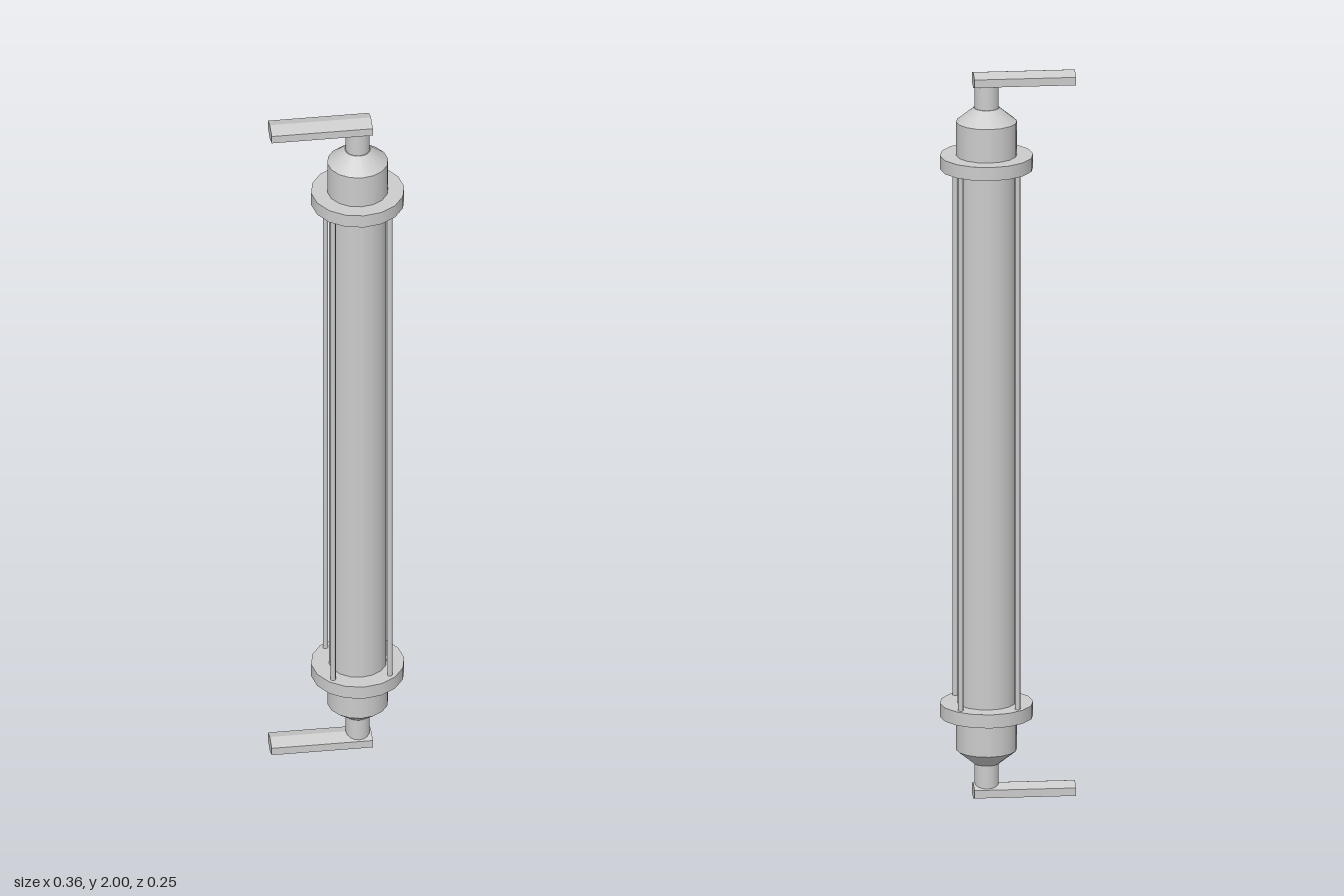
import * as THREE from 'three';

export function createModel() {
  const model = new THREE.Group();
  model.name = 'cylinderWithArms';
  const material = new THREE.MeshStandardMaterial({ color: 0xcccccc });
  const flatMaterial = new THREE.MeshStandardMaterial({ color: 0xcccccc, flatShading: true });

  const AXIS_X = 0.0545;
  const MID_Y = 1;

  // Upright cylinder between two heights, measured from the middle of the model
  function column(name, y0, y1, r0, r1, sides = 16, x = 0, z = 0) {
    const mesh = new THREE.Mesh(new THREE.CylinderGeometry(r1, r0, y1 - y0, sides), material);
    mesh.name = name;
    mesh.position.set(AXIS_X + x, MID_Y + (y0 + y1) / 2, z);
    model.add(mesh);
  }

  // Flattened hexagonal bar along x, ridge on top
  function arm(name, y) {
    const geometry = new THREE.CylinderGeometry(0.0435, 0.0435, 0.27, 6);
    geometry.rotateZ(Math.PI / 2);
    // Turn a corner upward, then squash the height
    geometry.computeBoundingBox();
    const size = geometry.boundingBox.getSize(new THREE.Vector3());
    if (size.y < size.z) geometry.rotateX(Math.PI / 6);
    geometry.scale(1, 0.5, 1);
    const mesh = new THREE.Mesh(geometry, flatMaterial);
    mesh.name = name;
    mesh.position.set(-0.045, MID_Y + y, 0);
    model.add(mesh);
  }

  // Long central tube
  column('tube', -0.75, 0.75, 0.077, 0.077);

  // End fittings, mirrored top and bottom
  for (const s of [1, -1]) {
    const side = s > 0 ? 'top' : 'bottom';
    const part = (name, a, b, ra, rb) => s > 0
      ? column(side + name, a, b, ra, rb)
      : column(side + name, -b, -a, rb, ra);
    part('Flange', 0.735, 0.772, 0.124, 0.124);
    part('Cap', 0.75, 0.864, 0.081, 0.081);
    part('Shoulder', 0.864, 0.902, 0.081, 0.034);
    part('Neck', 0.895, 0.972, 0.032, 0.032);
    arm(side + 'Arm', s * 0.97825);
  }

  // Four tie rods between the flanges
  for (let i = 0; i < 4; i++) {
    const a = Math.PI / 4 + i * Math.PI / 2;
    column('tieRod' + (i + 1), -0.74, 0.74, 0.007, 0.007, 8, 0.107 * Math.cos(a), 0.107 * Math.sin(a));
  }

  return model;
}
